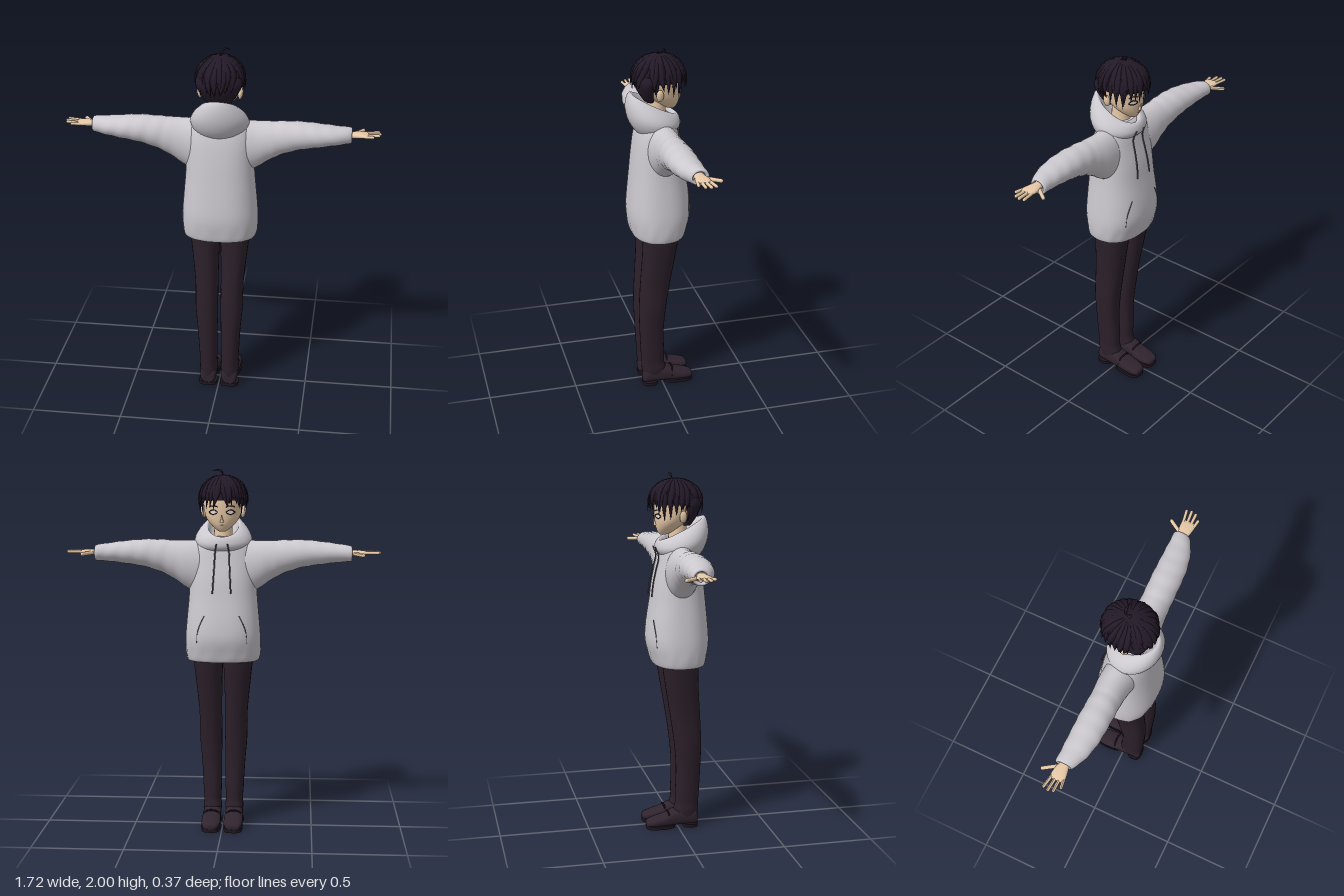
import * as THREE from 'three';

const mat = (name, color, side = THREE.FrontSide) => {
  const m = new THREE.MeshStandardMaterial({ color, side });
  m.name = name;
  return m;
};
const V = (x, y, z) => new THREE.Vector3(x, y, z);

// Skin a list of closed rings (equal point counts) and cap both ends.
function skin(rings) {
  const n = rings[0].length, pos = [], idx = [];
  rings.forEach(r => r.forEach(p => pos.push(p.x, p.y, p.z)));
  for (let i = 0; i < rings.length - 1; i++)
    for (let j = 0; j < n; j++) {
      const a = i * n + j, b = i * n + (j + 1) % n;
      idx.push(a, a + n, b, b, a + n, b + n);
    }
  [0, rings.length - 1].forEach((k, end) => {
    const c = rings[k].reduce((s, p) => s.add(p), V(0, 0, 0)).divideScalar(n);
    const base = pos.length / 3;
    rings[k].concat(c).forEach(p => pos.push(p.x, p.y, p.z));
    for (let j = 0; j < n; j++) {
      const a = base + j, b = base + (j + 1) % n;
      idx.push(base + n, end ? b : a, end ? a : b);
    }
  });
  const g = new THREE.BufferGeometry();
  g.setAttribute('position', new THREE.Float32BufferAttribute(pos, 3));
  g.setIndex(idx);
  g.computeVertexNormals();
  return g;
}

// Smoothly interpolate rows of numbers.
function smooth(rows, k) {
  const out = [], at = i => rows[Math.max(0, Math.min(rows.length - 1, i))];
  for (let i = 0; i < rows.length - 1; i++)
    for (let s = 0; s < k; s++) {
      const t = s / k;
      out.push(rows[i].map((_, c) => {
        const [a, b, d, e] = [at(i - 1)[c], at(i)[c], at(i + 1)[c], at(i + 2)[c]];
        return b + 0.5 * t * (d - a + t * (2 * a - 5 * b + 4 * d - e + t * (3 * (b - d) + e - a)));
      }));
    }
  out.push(rows[rows.length - 1]);
  return out;
}

// Loft superellipses along an axis; row = [t, cosMin, cosMax, sinMin, sinMax].
const AXES = { x: ['z', 'y'], y: ['x', 'z'], z: ['y', 'x'] };
function loft(axis, rows, { n = 28, k = 3, p = 2, fold = () => 1 } = {}) {
  const [c, s] = AXES[axis];
  const pw = v => Math.sign(v) * Math.pow(Math.abs(v), 2 / p);
  return skin(smooth(rows, k).map(r => Array.from({ length: n }, (_, j) => {
    const a = j / n * Math.PI * 2, q = V(0, 0, 0), f = fold(a, r[0]);
    q[axis] = r[0];
    q[c] = (r[1] + r[2]) / 2 + (r[2] - r[1]) / 2 * pw(Math.cos(a)) * f;
    q[s] = (r[3] + r[4]) / 2 + (r[4] - r[3]) / 2 * pw(Math.sin(a)) * f;
    return q;
  })));
}

function mirrored(g) {
  const m = g.clone().scale(-1, 1, 1), ix = m.index.array;
  for (let i = 0; i < ix.length; i += 3) [ix[i], ix[i + 1]] = [ix[i + 1], ix[i]];
  m.computeVertexNormals();
  return m;
}

function capsule(a, b, r) {
  const d = b.clone().sub(a), g = new THREE.CapsuleGeometry(r, d.length(), 4, 10);
  g.applyQuaternion(new THREE.Quaternion().setFromUnitVectors(V(0, 1, 0), d.normalize()));
  return g.translate((a.x + b.x) / 2, (a.y + b.y) / 2, (a.z + b.z) / 2);
}
const tube = (pts, r) => new THREE.TubeGeometry(new THREE.CatmullRomCurve3(pts), 16, r, 6);

// Tapered lock of hair following points, flattened against the head.
const HEAD = V(0, 1.82, 0);
function lock(pts, w, h) {
  const m = pts.length - 1;
  return skin(pts.map((p, i) => {
    const T = pts[Math.min(m, i + 1)].clone().sub(pts[Math.max(0, i - 1)]).normalize();
    const N = p.clone().sub(HEAD);
    N.addScaledVector(T, -N.dot(T)).normalize();
    const S = N.clone().cross(T), t = i / m;
    const f = Math.min(1, 0.3 + t * 1.6) * Math.min(1, (1 - t) * 2.2) + 0.01;
    return [[1, 0], [0, 1], [-1, 0], [0, -1]].map(([u, v]) =>
      p.clone().addScaledVector(N, u * h * f).addScaledVector(S, v * w * f));
  }));
}

export function createModel() {
  const model = new THREE.Group();
  model.name = 'figure';
  const hoodie = mat('hoodie grey', 0xcbc8ce, THREE.DoubleSide);
  const cord = mat('cord grey', 0x5c5862);
  const cloth = mat('trouser plum', 0x2c202a);
  const shoeMat = mat('shoe plum', 0x30242f);
  const soleMat = mat('sole dark', 0x1f171f);
  const skinMat = mat('skin', 0xe8caa8);
  const hairMat = mat('hair dark violet', 0x241a29, THREE.DoubleSide);
  const eyeMat = mat('eye pale', 0xf0e4da, THREE.DoubleSide);
  const lipMat = mat('lip', 0xb98672);
  const add = (name, g, m) => {
    const mesh = new THREE.Mesh(g, m);
    mesh.name = name;
    model.add(mesh);
  };
  const pair = (name, g, m) => { add('left' + name, g, m); add('right' + name, mirrored(g), m); };

  // Hoodie body with a hollow, gathered hem
  const body = [[1.01, .17, -.10, .13], [.96, .18, -.11, .14], [.95, .198, -.127, .158], [1.0, .207, -.143, .17],
    [1.08, .208, -.163, .18], [1.18, .2, -.157, .174], [1.3, .189, -.138, .162], [1.4, .184, -.125, .152],
    [1.5, .18, -.103, .138], [1.57, .165, -.088, .12], [1.61, .135, -.075, .1], [1.635, .07, -.05, .07]];
  add('hoodieBody', loft('y', body.map(r => [r[0], -r[1], r[1], r[2], r[3]]), {
    n: 56, p: 2.35,
    fold: (a, y) => 1 + 0.014 * Math.cos(a * 14) * Math.max(0, 1 - Math.abs(y - .985) / .06),
  }), hoodie);
  const frontZ = (x, y) => {
    let i = 3;
    while (body[i + 1][0] < y) i++;
    const t = (y - body[i][0]) / (body[i + 1][0] - body[i][0]);
    const [, rx, z0, z1] = body[i].map((v, c) => v + (body[i + 1][c] - v) * t);
    return (z0 + z1) / 2 - (z1 - z0) / 2 * Math.pow(1 - Math.pow(Math.abs(x) / rx, 2.35), 1 / 2.35);
  };

  // Sleeves with soft wrinkles and hollow cuffs
  pair('Sleeve', loft('x', [[.04, -.06, .08, 1.4, 1.6], [.12, -.08, .1, 1.32, 1.612], [.2, -.083, .092, 1.35, 1.61],
    [.26, -.077, .088, 1.392, 1.611], [.33, -.074, .088, 1.43, 1.614], [.43, -.075, .088, 1.463, 1.616],
    [.53, -.074, .082, 1.48, 1.608], [.62, -.073, .062, 1.492, 1.597], [.67, -.073, .04, 1.497, 1.59],
    [.70, -.072, .022, 1.5, 1.585], [.703, -.06, .012, 1.512, 1.573], [.685, -.055, .008, 1.518, 1.567]],
  { n: 32, k: 5, fold: (a, x) => x > .28 ? 1 + .018 * Math.sin(x * 75 + Math.sin(a) * 2) : 1 }), hoodie);

  // Lowered hood: high behind the head, low at the throat
  const hood = smooth([[.125, -.095, .11, 1.56, 1.525], [.15, -.108, .155, 1.575, 1.58], [.158, -.112, .18, 1.595, 1.645],
    [.135, -.105, .183, 1.622, 1.71], [.098, -.092, .168, 1.635, 1.757], [.083, -.078, .145, 1.628, 1.75],
    [.075, -.062, .1, 1.6, 1.67], [.055, -.04, .06, 1.58, 1.6]], 3);
  add('hood', skin(hood.map(([rx, z0, z1, y0, y1]) => Array.from({ length: 36 }, (_, j) => {
    const a = j / 18 * Math.PI, w = (1 + Math.sin(a)) / 2;
    return V(rx * Math.cos(a), y0 + (y1 - y0) * w, (z0 + z1) / 2 + (z1 - z0) / 2 * Math.sin(a));
  }))), hoodie);

  // Drawstrings and pocket openings
  pair('Drawstring', tube([V(.03, 1.6, -.117), ...[1.55, 1.47, 1.4, 1.33].map((y, i) =>
    V(.038 + i * .004, y, frontZ(.045, y) - .009))], .004), cord);
  pair('PocketOpening', tube([[.095, 1.21], [.115, 1.17], [.132, 1.12], [.137, 1.06]].map(([x, y]) =>
    V(x, y, frontZ(x, y) - .001)), .003), cord);

  // Trousers
  pair('TrouserLeg', loft('y', [[.05, .014, .108, -.022, .112], [.1, .01, .113, -.022, .118], [.14, .014, .11, -.012, .119],
    [.2, .011, .114, -.012, .123], [.35, .01, .122, -.008, .13], [.5, .008, .134, -.02, .133], [.65, .008, .136, -.042, .126],
    [.8, .006, .15, -.066, .116], [.95, 0, .165, -.088, .112], [1.05, -.002, .165, -.09, .12]], { n: 24, p: 2.3 }), cloth);

  // Shoes with separate front sole and heel
  pair('Shoe', loft('z', [[-.18, .02, .035, .045, .08], [-.172, .014, .048, .025, .1], [-.13, .013, .062, .01, .113],
    [-.07, .013, .08, .009, .114], [-.02, .013, .105, .012, .112], [.05, .013, .115, .014, .11],
    [.1, .013, .105, .018, .106], [.113, .018, .08, .035, .09]], { n: 24, p: 2.7 }), shoeMat);
  const sole = (z0, z1) => loft('y', [[0, .01, .114, z0, z1], [.02, .008, .116, z0, z1]], { k: 1, p: 3 });
  pair('FrontSole', sole(-.181, -.015), soleMat);
  pair('Heel', sole(.03, .115), soleMat);
  pair('ShoeStrap', tube([V(.012, .05, -.05), V(.03, .087, -.056), V(.062, .094, -.058), V(.094, .087, -.056), V(.112, .05, -.05)], .005), soleMat);

  // Hands
  pair('Palm', loft('x', [[.66, -.045, .005, 1.527, 1.565], [.7, -.049, .005, 1.53, 1.562], [.735, -.06, .012, 1.532, 1.562],
    [.775, -.063, .018, 1.537, 1.559], [.792, -.055, .012, 1.542, 1.554]], { n: 18, p: 2.4 }), skinMat);
  [[-.053, -.065, .845], [-.031, -.038, .852], [-.01, -.011, .845], [.01, .016, .815]].forEach(([z0, z1, x], i) =>
    pair('Finger' + (i + 1), capsule(V(.775, 1.548, z0), V(x, 1.55, z1), .0085), skinMat));
  pair('Thumb', capsule(V(.715, 1.543, -.042), V(.762, 1.54, -.114), .0105), skinMat);

  // Head, neck, ears and nose
  add('neck', new THREE.CylinderGeometry(.047, .055, .18, 20).translate(0, 1.645, .015), skinMat);
  add('head', loft('y', [[1.664, -.018, .018, -.083, -.05], [1.675, -.035, .035, -.093, -.02], [1.7, -.064, .064, -.104, .02],
    [1.735, -.09, .09, -.11, .06], [1.78, -.103, .103, -.113, .1], [1.84, -.108, .108, -.113, .115],
    [1.9, -.092, .092, -.095, .1], [1.94, -.04, .04, -.05, .05]], { n: 32 }), skinMat);
  pair('Ear', new THREE.SphereGeometry(1, 14, 10).scale(.013, .034, .02).rotateZ(-.15).translate(.11, 1.768, .022), skinMat);
  add('nose', new THREE.ConeGeometry(.011, .04, 8).rotateX(-.35).translate(0, 1.735, -.114), skinMat);

  // Eyes, lashes, brows and mouth
  const face = (g, x, y, z, turn) => g.rotateY(Math.PI - turn).translate(x, y, z);
  pair('Eye', face(new THREE.CircleGeometry(1, 20).scale(.022, .011, 1), .047, 1.768, -.103, .45), eyeMat);
  const arc = (y, bend) => tube([-1, -.4, .3, 1].map(u =>
    V(.047 + u * .023, y + bend * (1 - u * u), -.103 + u * .011 - .001)), .0025);
  pair('UpperLash', arc(1.77, .011), hairMat);
  pair('LowerLash', arc(1.767, -.01), hairMat);
  pair('Brow', arc(1.797, .006), hairMat);
  add('mouth', tube([V(-.016, 1.699, -.1025), V(0, 1.698, -.105), V(.016, 1.699, -.1025)], .0018), lipMat);

  // Hair: skull cap, nape block and layered locks
  add('hairCap', new THREE.SphereGeometry(1, 32, 12, 0, Math.PI * 2, 0, Math.PI / 2)
    .scale(.13, .128, .14).translate(0, 1.832, .003), hairMat);
  add('napeHair', loft('y', [[1.715, -.06, .06, .03, .085], [1.77, -.095, .095, .03, .12],
    [1.83, -.125, .125, .01, .14], [1.87, -.115, .115, .02, .125]], { n: 24 }), hairMat);
  let seed = 7;
  const rnd = () => (seed = (seed * 16807) % 2147483647) / 2147483647;
  // Azimuth 0 points to the back (+z), pi to the face (-z).
  const drape = (az, yEnd, flare, sweep, size) => {
    const R = .135, L = R * Math.PI / 2, total = L + 1.83 - yEnd;
    return Array.from({ length: 11 }, (_, i) => {
      const t = i / 10, s = total * (.04 + .96 * t), a = az + sweep * t * t;
      const th = Math.min(s / R, Math.PI / 2), drop = Math.max(0, s - L);
      const r = (Math.sin(th) + flare * drop) * size;
      return V(.133 * r * Math.sin(a), 1.83 + R * Math.cos(th) - drop, .147 * r * Math.cos(a) + .002);
    });
  };
  const layer = (name, count, from, to, yEnd, flare, size, w) => {
    for (let i = 0; i < count; i++) {
      const az = from + (to - from) * (i + .5) / count + (rnd() - .5) * .12;
      add(name + (i + 1), lock(drape(az, yEnd + (rnd() - .5) * .035, flare, (rnd() - .5) * .5, size), w, .008), hairMat);
    }
  };
  layer('crownLock', 24, 0, Math.PI * 2, 1.82, 2, 1.0, .03);
  layer('napeLock', 13, -1.25, 1.25, 1.74, -3.8, .99, .027);
  layer('backLock', 14, -1.5, 1.5, 1.785, -.6, 1.02, .026);
  layer('fringeLock', 9, Math.PI - .95, Math.PI + .95, 1.785, .6, 1.0, .022);
  [-1, 1].forEach(s => [[.95, 1.745], [1.2, 1.755], [1.42, 1.775]].forEach(([a, y], i) =>
    add((s > 0 ? 'left' : 'right') + 'SideLock' + (i + 1),
      lock(drape(Math.PI - s * a, y, -.5, 0, .99), .02, .008), hairMat)));
  add('topStrand', lock(smooth([[0, 1.955, -.01], [.004, 1.982, -.022], [.025, 1.995, -.025], [.06, 1.988, -.02]], 4)
    .map(p => V(...p)), .008, .006), hairMat);

  return model;
}
